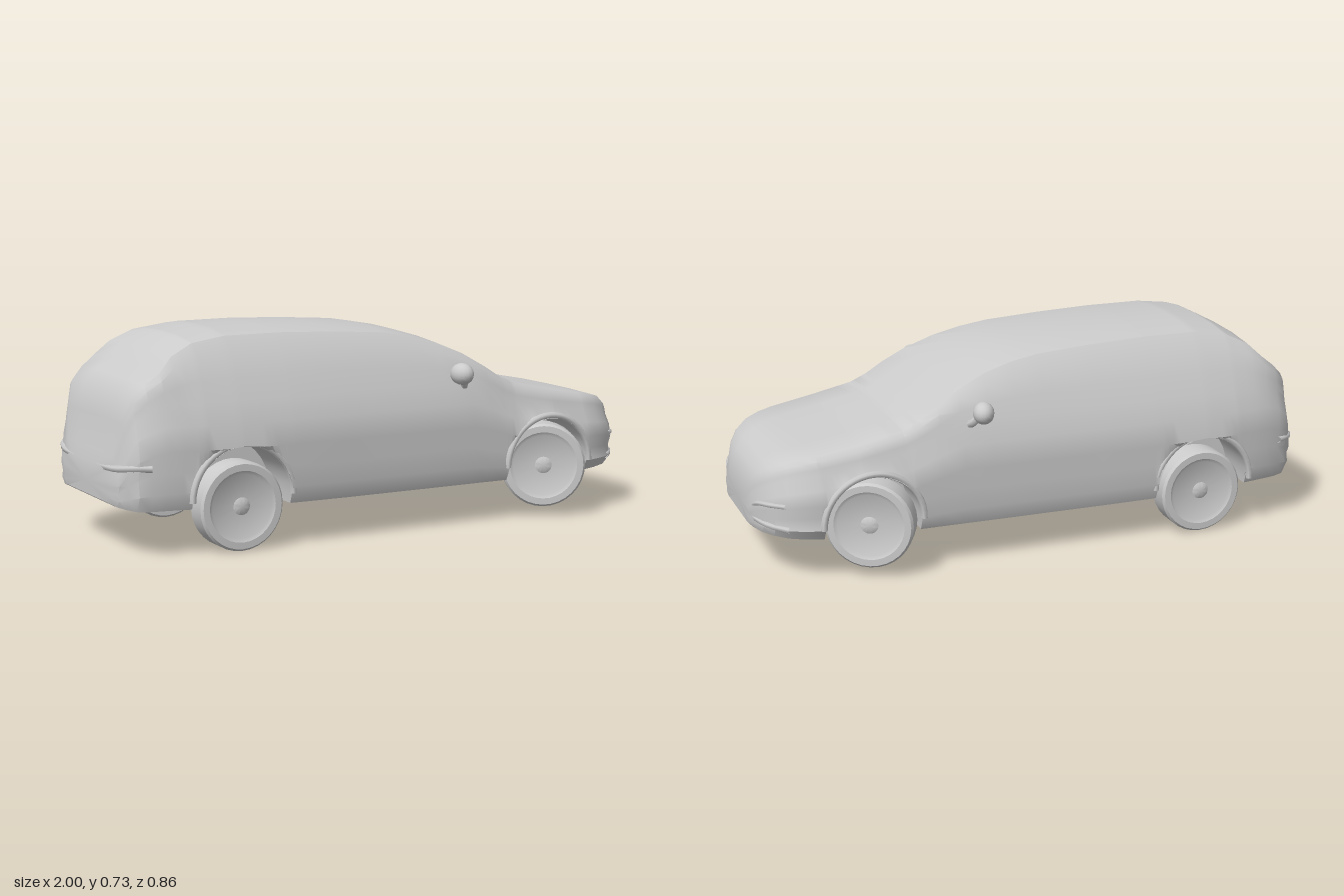
import * as THREE from 'three';
import { toCreasedNormals } from 'three/addons/utils/BufferGeometryUtils.js';

const material = new THREE.MeshStandardMaterial({ color: 0xcccccc, side: THREE.DoubleSide });
const lerp = THREE.MathUtils.lerp;

// Body stations, tail to nose: x, top height, half width, floor height
const stations = [
  [-1, 0.29, 0.2, 0.175], [-0.985, 0.33, 0.265, 0.165], [-0.965, 0.44, 0.3, 0.16],
  [-0.94, 0.53, 0.33, 0.156], [-0.9, 0.57, 0.347, 0.155], [-0.85, 0.61, 0.36, 0.156],
  [-0.8, 0.663, 0.369, 0.156], [-0.72, 0.705, 0.379, 0.154], [-0.6, 0.724, 0.385, 0.15],
  [-0.4, 0.725, 0.386, 0.145], [-0.2, 0.717, 0.382, 0.143], [0, 0.703, 0.38, 0.143],
  [0.1, 0.685, 0.38, 0.143], [0.2, 0.655, 0.379, 0.143], [0.3, 0.608, 0.378, 0.143],
  [0.38, 0.558, 0.377, 0.143], [0.44, 0.52, 0.377, 0.143], [0.5, 0.492, 0.377, 0.144],
  [0.65, 0.458, 0.38, 0.146], [0.8, 0.432, 0.37, 0.15], [0.85, 0.423, 0.356, 0.152],
  [0.9, 0.408, 0.335, 0.155], [0.94, 0.385, 0.3, 0.158], [0.97, 0.355, 0.255, 0.16],
  [0.99, 0.315, 0.205, 0.164], [1, 0.26, 0.17, 0.17],
];
const arches = [{ x: -0.59, y: 0.18, r: 0.175 }, { x: 0.62, y: 0.19, r: 0.166 }];

function sample(x) {
  let i = 0;
  while (i < stations.length - 2 && stations[i + 1][0] < x) i++;
  const a = stations[i], b = stations[i + 1];
  const t = (x - a[0]) / (b[0] - a[0]);
  return a.map((v, k) => lerp(v, b[k], t));
}

// Closed ring around the body at x; the lower corner is notched at the wheels
function section(x) {
  const [, top, w, floor] = sample(x);
  const belt = Math.min(0.5, floor + 0.78 * (top - floor));
  const roof = Math.min(w - 0.07, 0.33 - 0.4 * (top - 0.5));
  const drop = top - belt, beltW = w - 0.035;
  let edge = floor;
  for (const a of arches) {
    const d = Math.abs(x - a.x);
    if (d <= a.r + 1e-6) edge = a.y + Math.sqrt(Math.max(0, a.r * a.r - d * d));
  }
  const side = (z, f) => [z, Math.max(edge, lerp(floor, belt, f))];
  const inner = Math.min(0.2, w * 0.75);
  const half = [
    [0, top], [roof * 0.55, top - drop * 0.02], [roof, top - drop * 0.09],
    [lerp(roof, beltW, 0.25) + 0.012, top - drop * 0.3],
    [lerp(roof, beltW, 0.65) + 0.008, top - drop * 0.66],
    [beltW, belt], side(w - 0.01, 0.8), side(w, 0.57), side(w - 0.014, 0.36),
    side(w - 0.006, 0.17), [w - 0.03, edge], [inner, edge], [inner, floor], [0, floor],
  ];
  const mirrored = half.slice(1, -1).reverse().map(([z, y]) => [-z, y]);
  return half.concat(mirrored);
}

function bodyGeometry() {
  const xs = stations.map((s) => s[0]);
  for (const a of arches) {
    xs.push(a.x - a.r - 0.001, a.x + a.r + 0.001);
    for (let k = 0; k <= 16; k++) xs.push(a.x - a.r * Math.cos((k / 16) * Math.PI));
  }
  xs.sort((a, b) => a - b);
  const pos = [], index = [];
  const rings = xs.map(section);
  const n = rings[0].length;
  rings.forEach((ring, s) => ring.forEach(([z, y]) => pos.push(xs[s], y, z)));
  for (let s = 0; s < xs.length - 1; s++) {
    for (let i = 0; i < n; i++) {
      const j = (i + 1) % n;
      const a = s * n + i, b = s * n + j, c = b + n, d = a + n;
      index.push(a, b, c, a, c, d);
    }
  }
  // Tail and nose caps
  for (const s of [0, xs.length - 1]) {
    const center = pos.length / 3;
    pos.push(xs[s], 0.22, 0);
    for (let i = 0; i < n; i++) {
      const a = s * n + i, b = s * n + (i + 1) % n;
      if (s) index.push(center, a, b);
      else index.push(center, b, a);
    }
  }
  const g = new THREE.BufferGeometry();
  g.setAttribute('position', new THREE.Float32BufferAttribute(pos, 3));
  g.setIndex(index);
  return toCreasedNormals(g, 0.6);
}

function add(parent, name, geometry, x = 0, y = 0, z = 0) {
  const mesh = new THREE.Mesh(geometry, material);
  mesh.name = name;
  mesh.position.set(x, y, z);
  parent.add(mesh);
  return mesh;
}

// Solid wheel with a shallow dished face, axle along z
function wheelGeometry(r) {
  const profile = [
    [0, -0.047], [r * 0.95, -0.047], [r, -0.038], [r, 0.038], [r * 0.95, 0.047],
    [r * 0.8, 0.047], [r * 0.72, 0.04], [r * 0.2, 0.036], [r * 0.12, 0.042], [0, 0.042],
  ].map(([a, b]) => new THREE.Vector2(a, b));
  return toCreasedNormals(new THREE.LatheGeometry(profile, 32).rotateX(Math.PI / 2), 0.5);
}

function tube(points, radius) {
  const curve = new THREE.CatmullRomCurve3(points.map((p) => new THREE.Vector3(...p)));
  return new THREE.TubeGeometry(curve, 24, radius, 6);
}

export function createModel() {
  const car = new THREE.Group();
  car.name = 'car';
  add(car, 'body', bodyGeometry());

  // Bumper ridges
  add(car, 'frontBumperLip', tube([
    [0.9, 0.19, 0.325], [0.955, 0.195, 0.265], [0.985, 0.2, 0.17], [0.988, 0.2, 0],
    [0.985, 0.2, -0.17], [0.955, 0.195, -0.265], [0.9, 0.19, -0.325]], 0.011));
  add(car, 'rearBumperRidge', tube([
    [-0.9, 0.3, 0.34], [-0.955, 0.3, 0.305], [-0.983, 0.29, 0.23], [-0.987, 0.285, 0],
    [-0.983, 0.29, -0.23], [-0.955, 0.3, -0.305], [-0.9, 0.3, -0.34]], 0.012));

  for (const side of [1, -1]) {
    const label = side > 0 ? 'left' : 'right';

    // Front wheels are steered
    const front = add(car, label + 'FrontWheel', wheelGeometry(0.15), 0.62, 0.185, side * 0.325);
    front.rotation.y = -0.47 + (side < 0 ? Math.PI : 0);
    const rear = add(car, label + 'RearWheel', wheelGeometry(0.15), -0.59, 0.15, side * 0.313);
    rear.rotation.y = side < 0 ? Math.PI : 0;

    // Wheel arch lips
    for (const a of arches) {
      const lip = new THREE.TorusGeometry(a.r + 0.008, 0.012, 6, 24, Math.PI);
      add(car, label + 'ArchLip', lip, a.x, a.y, side * 0.367);
    }

    // Door mirror on a short stalk
    const shell = new THREE.SphereGeometry(1, 16, 10).scale(0.036, 0.038, 0.046);
    const mirror = add(car, label + 'Mirror', shell, 0.24, 0.54, side * 0.384);
    mirror.rotation.set(0, side * 0.25, 0);
    add(car, label + 'MirrorStalk', tube([
      [0.275, 0.492, side * 0.342], [0.268, 0.503, side * 0.356], [0.25, 0.53, side * 0.37]], 0.014));

    // Fog lamp surround
    add(car, label + 'FogLampTrim', tube([
      [0.91, 0.272, side * 0.322], [0.95, 0.27, side * 0.28],
      [0.978, 0.262, side * 0.222], [0.986, 0.245, side * 0.18]], 0.009));
  }
  return car;
}
